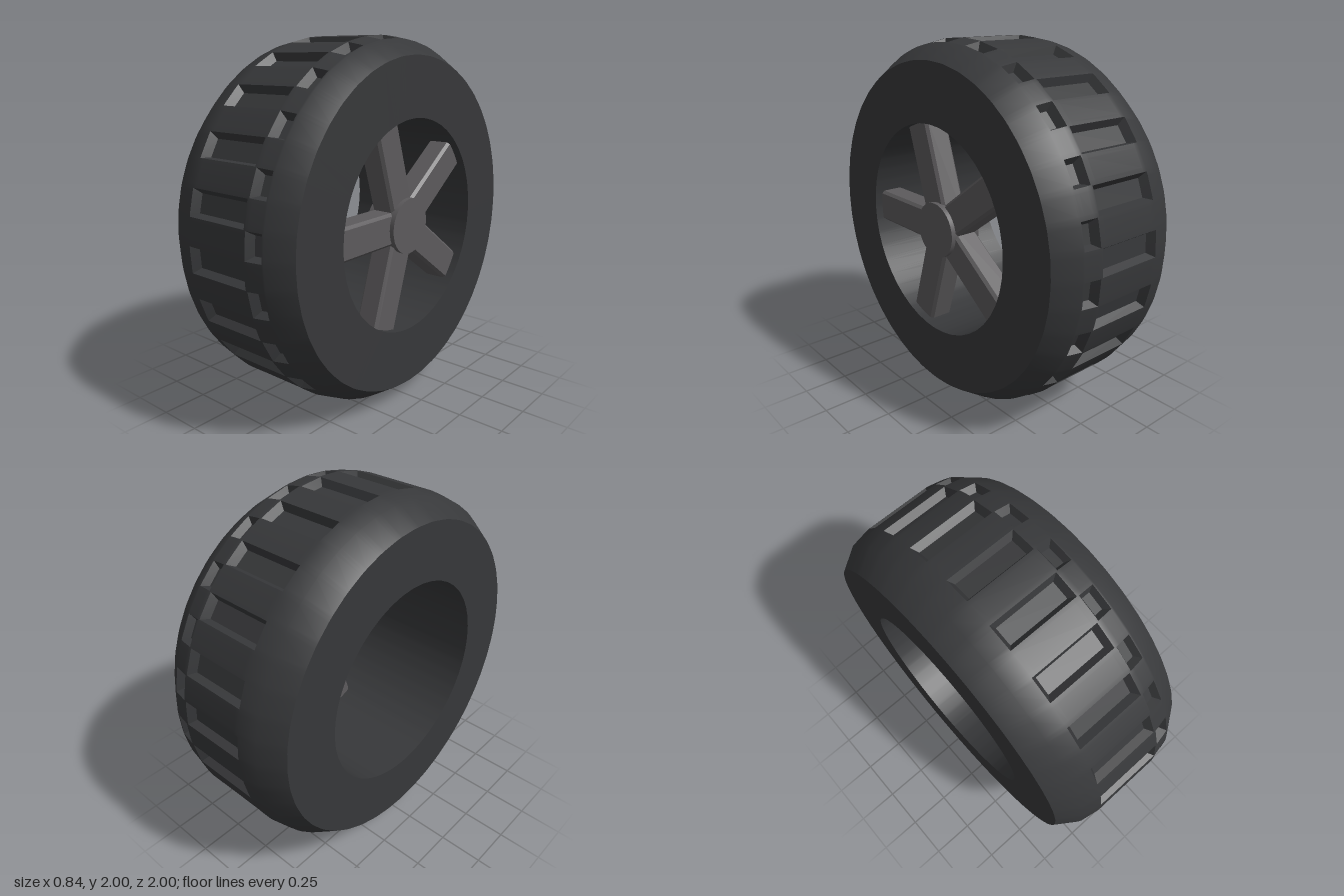
import * as THREE from 'three';
import { toCreasedNormals } from 'three/addons/utils/BufferGeometryUtils.js';

const RAD = Math.PI / 180;
const PITCHES = 22, PITCH = 360 / PITCHES;
const DEPTH = 0.04;

// Tyre: a closed cross-section swept round the axle, with two staggered rows
// of bevelled pockets pressed into the tread.
function tyreGeometry() {
  // [x, radius, pocket row whose floor lies here]
  const rows = [
    [-0.42, 0.58, 0], [-0.42, 0.9, 0], [-0.3, 0.98, 0], [-0.195, 1, 0],
    [-0.17, 1, 1], [0.165, 1, 1], [0.19, 1, 0], [0.2, 1, 0],
    [0.22, 0.996, 2], [0.268, 0.987, 2], [0.29, 0.982, 0], [0.3, 0.98, 0],
    [0.42, 0.9, 0], [0.42, 0.58, 0],
  ];
  // [angle within one pitch, pocket row whose floor lies here]
  const steps = [
    [-4, 0], [-2.9, 1], [2.9, 1], [4, 0],
    [4.18, 0], [5.3, 2], [11.06, 2], [12.18, 0],
  ];
  const cols = [];
  for (let p = 0; p < PITCHES; p++) {
    for (const [a, row] of steps) cols.push([(12.5 + p * PITCH + a) * RAD, row]);
  }

  const pos = [], sunk = [], index = [];
  for (const [t, colRow] of cols) {
    for (const [x, radius, row] of rows) {
      const low = row > 0 && row === colRow;
      const r = radius - (low ? DEPTH : 0);
      pos.push(x, 1 + r * Math.sin(t), r * Math.cos(t));
      sunk.push(low);
    }
  }
  const n = rows.length, m = cols.length;
  for (let j = 0; j < m; j++) {
    for (let i = 0; i < n; i++) {
      const i2 = (i + 1) % n, j2 = (j + 1) % m;
      const a = j * n + i, b = j * n + i2, c = j2 * n + i2, d = j2 * n + i;
      // the fold at a pocket corner runs through its floor corner
      if (sunk[a] !== sunk[c]) index.push(a, b, c, a, c, d);
      else index.push(a, b, d, b, c, d);
    }
  }
  const g = new THREE.BufferGeometry();
  g.setAttribute('position', new THREE.Float32BufferAttribute(pos, 3));
  g.setIndex(index);
  return toCreasedNormals(g, 40 * RAD);
}

// Spoke: a bar with chamfered long edges, running from the axle to the bore
function spokeGeometry() {
  const w = 0.09, h = 0.07, c = 0.015;
  const s = new THREE.Shape([
    [-h, -w + c], [-h + c, -w], [h - c, -w], [h, -w + c],
    [h, w - c], [h - c, w], [-h + c, w], [-h, w - c],
  ].map(([x, y]) => new THREE.Vector2(x, y)));
  return new THREE.ExtrudeGeometry(s, { depth: 0.59, bevelEnabled: false });
}

export function createModel() {
  const model = new THREE.Group();
  model.name = 'wheel';
  const rubber = new THREE.MeshStandardMaterial({ color: 0x37383a });
  const metal = new THREE.MeshStandardMaterial({ color: 0x5c5a5c });

  const tyre = new THREE.Mesh(tyreGeometry(), rubber);
  tyre.name = 'tyre';
  model.add(tyre);

  const rim = new THREE.Group();
  rim.name = 'rim';
  rim.position.set(0.305, 1, 0);
  model.add(rim);

  // Five spokes
  const spokeGeo = spokeGeometry();
  for (let k = 0; k < 5; k++) {
    const spoke = new THREE.Mesh(spokeGeo, metal);
    spoke.name = 'spoke';
    spoke.rotation.x = -k * 72 * RAD;
    rim.add(spoke);
  }

  // Hub cap, standing slightly proud of the spokes
  const hubGeo = new THREE.CylinderGeometry(0.153, 0.153, 0.18, 32);
  hubGeo.rotateZ(-Math.PI / 2);
  const hub = new THREE.Mesh(hubGeo, metal);
  hub.name = 'hub';
  hub.position.x = 0.005;
  rim.add(hub);

  return model;
}
